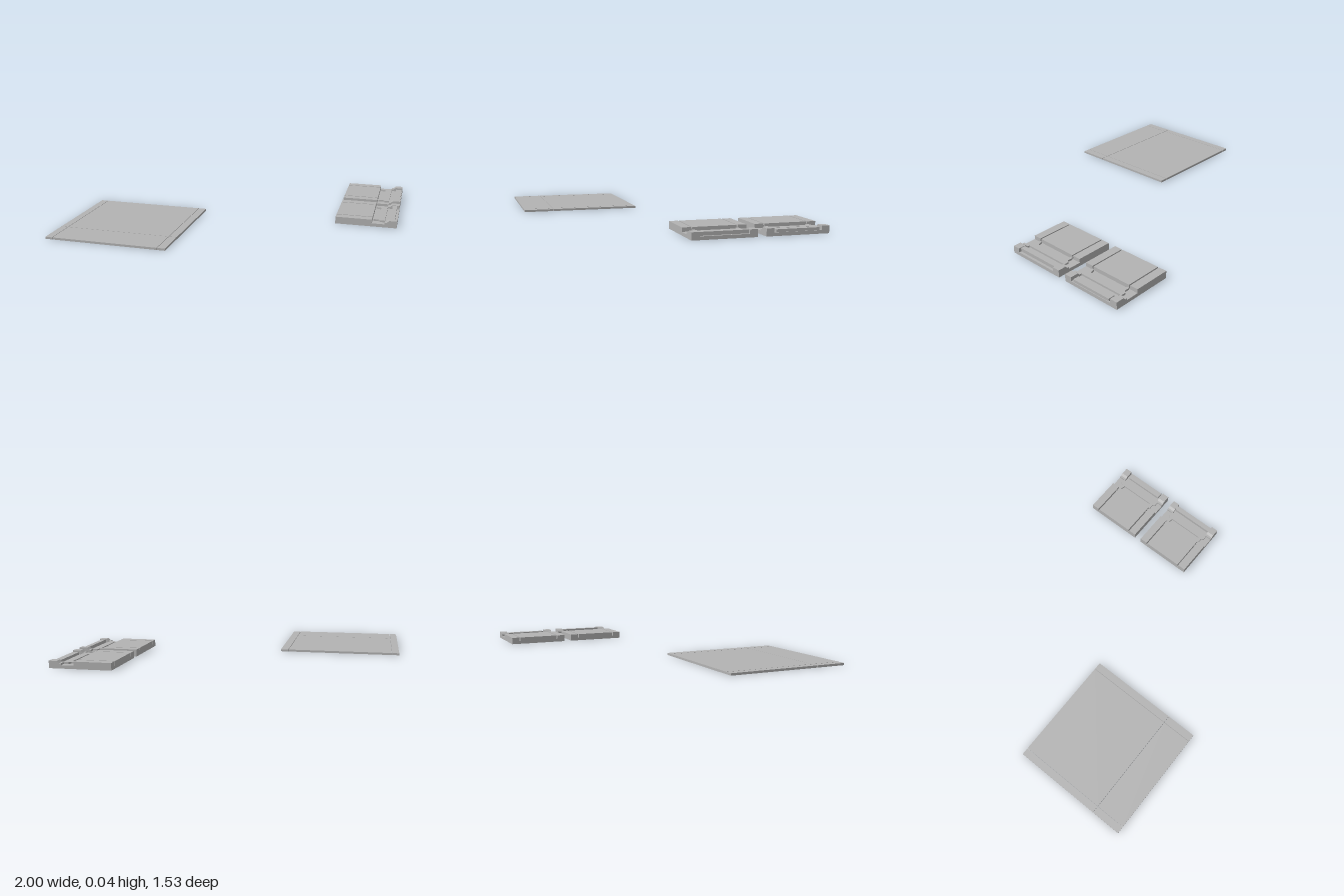
import * as THREE from 'three';

const grey = new THREE.MeshStandardMaterial({ color: 0xb3b3b3 });
grey.name = 'plainGrey';

// Box given by its limits on each axis
function block(parent, name, x0, x1, y0, y1, z0, z1) {
  const mesh = new THREE.Mesh(new THREE.BoxGeometry(x1 - x0, y1 - y0, z1 - z0), grey);
  mesh.position.set((x0 + x1) / 2, (y0 + y1) / 2, (z0 + z1) / 2);
  mesh.name = name;
  parent.add(mesh);
}

// Side profile in x and y, swept from z0 to z1
function sweep(parent, name, points, z0, z1) {
  const shape = new THREE.Shape(points.map(p => new THREE.Vector2(...p)));
  const geo = new THREE.ExtrudeGeometry(shape, { depth: z1 - z0, bevelEnabled: false });
  const mesh = new THREE.Mesh(geo, grey);
  mesh.position.z = z0;
  mesh.name = name;
  parent.add(mesh);
}

// Plan outline in x and z, raised from y0 to y1
function raise(parent, name, points, y0, y1) {
  const shape = new THREE.Shape(points.map(([x, z]) => new THREE.Vector2(x, -z)));
  const geo = new THREE.ExtrudeGeometry(shape, { depth: y1 - y0, bevelEnabled: false });
  const mesh = new THREE.Mesh(geo, grey);
  mesh.rotation.x = -Math.PI / 2;
  mesh.position.y = y0;
  mesh.name = name;
  parent.add(mesh);
}

// Thin square floor with narrow joints between its panels
function createFloor() {
  const floor = new THREE.Group();
  floor.name = 'floorPlate';
  const gap = 0.0015;
  const xs = [-1, -0.955, -0.295, -0.246];
  const zs = [0.005, 0.57, 0.762];
  for (let i = 0; i < 3; i++) {
    for (let j = 0; j < 2; j++) {
      block(floor, 'floorPanel',
        xs[i] + (i ? gap : 0), xs[i + 1] - (i < 2 ? gap : 0), 0, 0.013,
        zs[j] + (j ? gap : 0), zs[j + 1] - (j < 1 ? gap : 0));
    }
  }
  return floor;
}

// Slab tile with a grooved deck, a recessed channel and a lip between two posts
function createTile(name, z, wideLip) {
  const tile = new THREE.Group();
  tile.name = name;
  tile.position.z = z;
  const half = 0.188, top = 0.044, floorY = 0.02;
  block(tile, 'base', 0.62, 1, 0, floorY, -half, half);

  // Deck and its side rails, parted by grooves
  block(tile, 'deck', 0.62, 0.847, floorY, top, -0.129, 0.129);
  for (const s of [-1, 1]) {
    const zr = [0.137 * s, half * s].sort((a, b) => a - b);
    block(tile, 'sideRail', 0.62, 0.847, floorY, top, ...zr);
    // Corner post with a sloping inner face
    const zp = [0.142 * s, half * s].sort((a, b) => a - b);
    sweep(tile, 'cornerPost',
      [[0.925, floorY], [1, floorY], [1, top], [0.952, top], [0.938, 0.031], [0.925, 0.031]], ...zp);
    // Locking studs bridging the groove
    const zb = [0.128 * s, 0.138 * s].sort((a, b) => a - b);
    for (const x of [0.812, 0.832]) block(tile, 'grooveStud', x, x + 0.008, floorY, 0.034, ...zb);
  }

  // Ridge in the channel, widening toward both ends
  raise(tile, 'channelRidge', [
    [0.925, -0.15], [0.925, 0.15], [0.895, 0.15], [0.885, 0.135], [0.852, 0.135], [0.852, 0.122],
    [0.885, 0.112], [0.885, -0.112], [0.852, -0.122], [0.852, -0.135], [0.885, -0.135], [0.895, -0.15],
  ], floorY, 0.031);

  // Lip along the outer edge
  if (wideLip) {
    block(tile, 'edgeLip', 0.956, 0.996, floorY, 0.036, -0.129, 0.129);
  } else {
    block(tile, 'edgeLip', 0.956, 0.985, floorY, 0.041, -0.142, 0.142);
  }
  return tile;
}

export function createModel() {
  const model = new THREE.Group();
  model.name = 'floorTileSet';
  model.add(createFloor());
  model.add(createTile('frontTile', -0.15, false));
  model.add(createTile('backTile', -0.576, true));
  return model;
}
